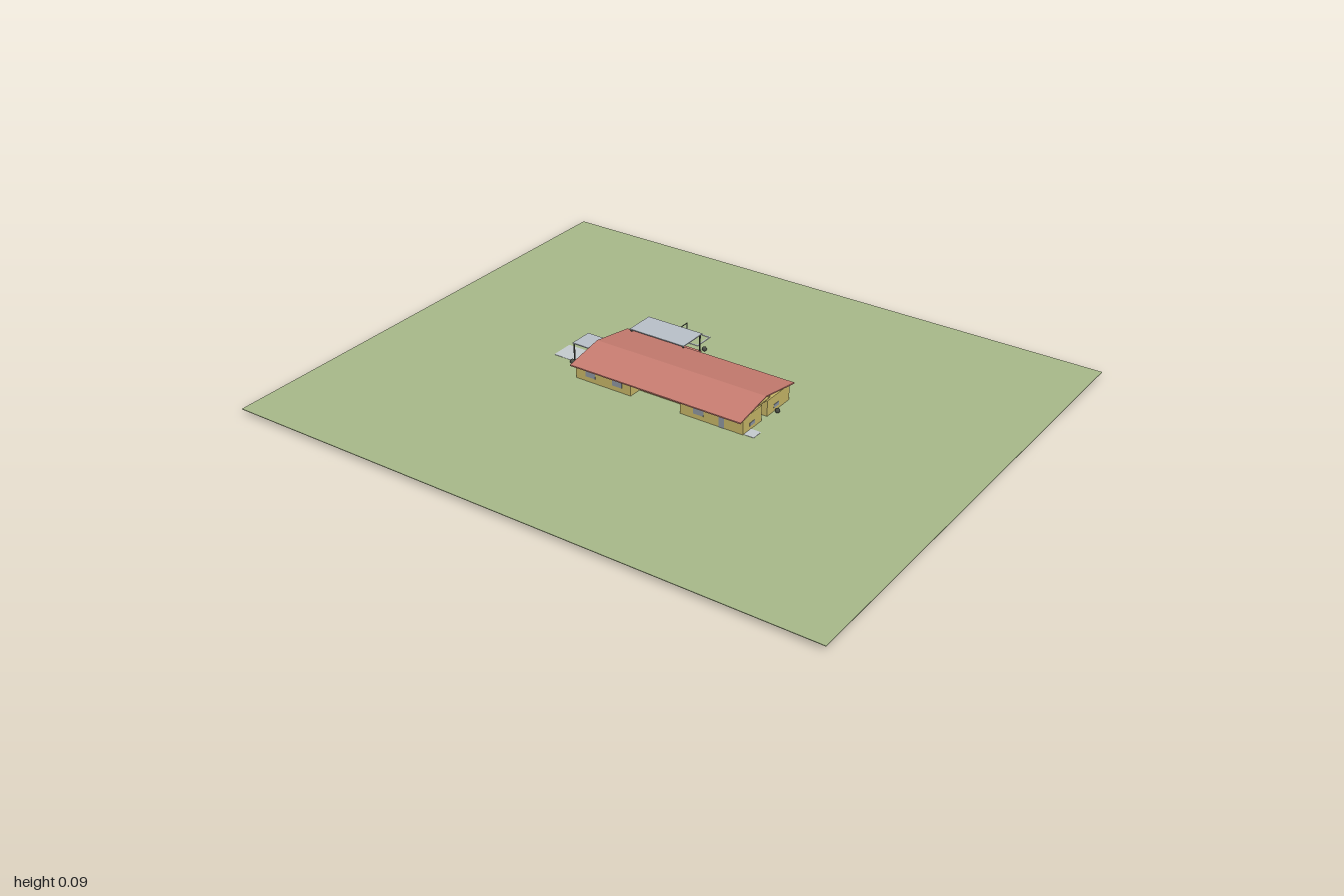
import * as THREE from 'three';

const mat = (name, color) => {
  const m = new THREE.MeshStandardMaterial({ color });
  m.name = name;
  return m;
};

export function createModel() {
  const grass = mat('grass', 0xa9ba8b);
  const tile = mat('roofTile', 0xc87d71);
  const wall = mat('wall', 0xc9b868);
  const glass = mat('windowGrey', 0x8f98a3);
  const metal = mat('canopyMetal', 0xbac2ca);
  const pale = mat('paleConcrete', 0xc6ccd0);
  const dark = mat('darkPost', 0x474b42);
  const model = new THREE.Group();
  const G = 0.018; // lawn level

  const add = (name, geometry, material) => {
    const m = new THREE.Mesh(geometry, material);
    m.name = name;
    model.add(m);
    return m;
  };
  // box from its limits on each axis
  const box = (name, material, x0, x1, y0, y1, z0, z1) => {
    const m = add(name, new THREE.BoxGeometry(x1 - x0, y1 - y0, z1 - z0), material);
    m.position.set((x0 + x1) / 2, (y0 + y1) / 2, (z0 + z1) / 2);
    return m;
  };
  const post = (name, x, z, y0, y1, r = 0.0025) => {
    const m = add(name, new THREE.CylinderGeometry(r, r, y1 - y0, 8), dark);
    m.position.set(x, (y0 + y1) / 2, z);
  };

  // lawn
  box('lawn', grass, -1, 1, G - 0.002, G, -0.83, 0.83);

  // front wing with a recessed middle, back wing, open corridor between
  box('frontWingLeftRooms', wall, 0.08, 0.3, G, 0.07, 0.015, 0.115);
  box('frontWingRightRooms', wall, -0.305, -0.1, G, 0.07, 0.015, 0.115);
  box('frontWingRecess', wall, -0.1, 0.08, G, 0.07, 0.015, 0.07);
  box('backWing', wall, -0.305, 0.3, G, 0.07, -0.138, -0.015);

  // gabled roof, open at both ends
  const s = new THREE.Shape();
  const top = [[-0.137, 0.07], [0, 0.095], [0.157, 0.069]];
  top.forEach(([x, y], i) => (i ? s.lineTo(x, y) : s.moveTo(x, y)));
  [...top].reverse().forEach(([x, y]) => s.lineTo(x, y - 0.004));
  s.closePath();
  const roof = new THREE.ExtrudeGeometry(s, { depth: 0.615, bevelEnabled: false });
  roof.rotateY(Math.PI / 2);
  add('roof', roof, tile).position.x = -0.31;

  // beams carrying the ridge over the corridor
  for (const x of [-0.3, -0.1, 0.1, 0.292]) {
    box('ridgeTie', wall, x - 0.003, x + 0.003, 0.068, 0.072, -0.035, 0.035);
    for (const z of [-0.034, 0.034])
      box('ridgeStrut', wall, x - 0.003, x + 0.003, 0.07, 0.086, z - 0.002, z + 0.002);
  }

  // windows and doors as thin plates
  const plateZ = (name, x, w, y0, y1, z) =>
    box(name, glass, x - w / 2, x + w / 2, y0, y1, z - 0.001, z + 0.001);
  const plateX = (name, z, w, y0, y1, x) =>
    box(name, glass, x - 0.001, x + 0.001, y0, y1, z - w / 2, z + w / 2);
  for (const x of [-0.25, -0.15, 0.145]) plateZ('frontWindow', x, 0.036, 0.034, 0.055, 0.1155);
  for (const x of [-0.078, -0.028, 0.042]) plateZ('recessWindow', x, 0.03, 0.034, 0.055, 0.0705);
  plateZ('frontDoor', 0.226, 0.018, G, 0.06, 0.1155);
  for (const x of [-0.03, 0.06, 0.15, 0.24]) plateZ('backWindow', x, 0.036, 0.034, 0.055, -0.1385);
  plateZ('backDoor', -0.19, 0.03, G, 0.06, -0.1385);
  for (const z of [0.067, -0.065]) {
    plateX('leftEndWindow', z, 0.027, 0.03, 0.041, 0.3005);
    plateX('rightEndWindow', z, 0.027, 0.03, 0.041, -0.3055);
  }

  // back porch with tiled floor and flat canopy
  box('porchFloor', tile, -0.29, -0.085, G, G + 0.003, -0.24, -0.138);
  box('porchCanopy', metal, -0.29, -0.085, 0.077, 0.08, -0.245, -0.142);
  for (const x of [-0.286, -0.089])
    for (const z of [-0.238, -0.146]) post('porchPost', x, z, G, 0.078);

  // entrance canopy on the right end
  box('entranceCanopy', metal, -0.375, -0.315, 0.081, 0.084, -0.04, 0.04);
  for (const z of [-0.037, 0.037]) post('entrancePost', -0.371, z, G, 0.082);
  box('entrancePath', pale, -0.452, -0.31, G, G + 0.001, -0.04, 0.037);
  box('entranceStep', glass, -0.335, -0.305, 0, 0.036, -0.015, 0.015);
  box('sidePath', pale, 0.3, 0.335, G, G + 0.001, 0.073, 0.112);

  // small shrubs by the corners
  for (const [x, z] of [[-0.295, -0.25], [-0.08, -0.25], [0.313, -0.052], [-0.37, 0.05]])
    add('shrub', new THREE.SphereGeometry(0.008, 10, 8), dark).position.set(x, G + 0.007, z);

  // bordered yard with a frame and a small table
  for (const z of [-0.335, -0.266])
    box('yardBorder', pale, -0.255, -0.115, G, G + 0.002, z - 0.002, z + 0.002);
  for (const x of [-0.253, -0.117])
    box('yardBorder', pale, x - 0.002, x + 0.002, G, G + 0.002, -0.335, -0.266);
  for (const z of [-0.314, -0.282]) post('yardFramePost', -0.19, z, G, 0.058, 0.0012);
  box('yardFrameBar', dark, -0.1912, -0.1888, 0.056, 0.058, -0.315, -0.281);
  const table = add('yardTable', new THREE.CylinderGeometry(0.012, 0.012, 0.003, 16), glass);
  table.position.set(-0.23, 0.036, -0.3);
  table.scale.z = 0.6;
  post('yardTableLeg', -0.23, -0.3, G, 0.035);
  box('gardenSlab', pale, -0.315, -0.29, G, G + 0.001, -0.268, -0.255);

  return model;
}
